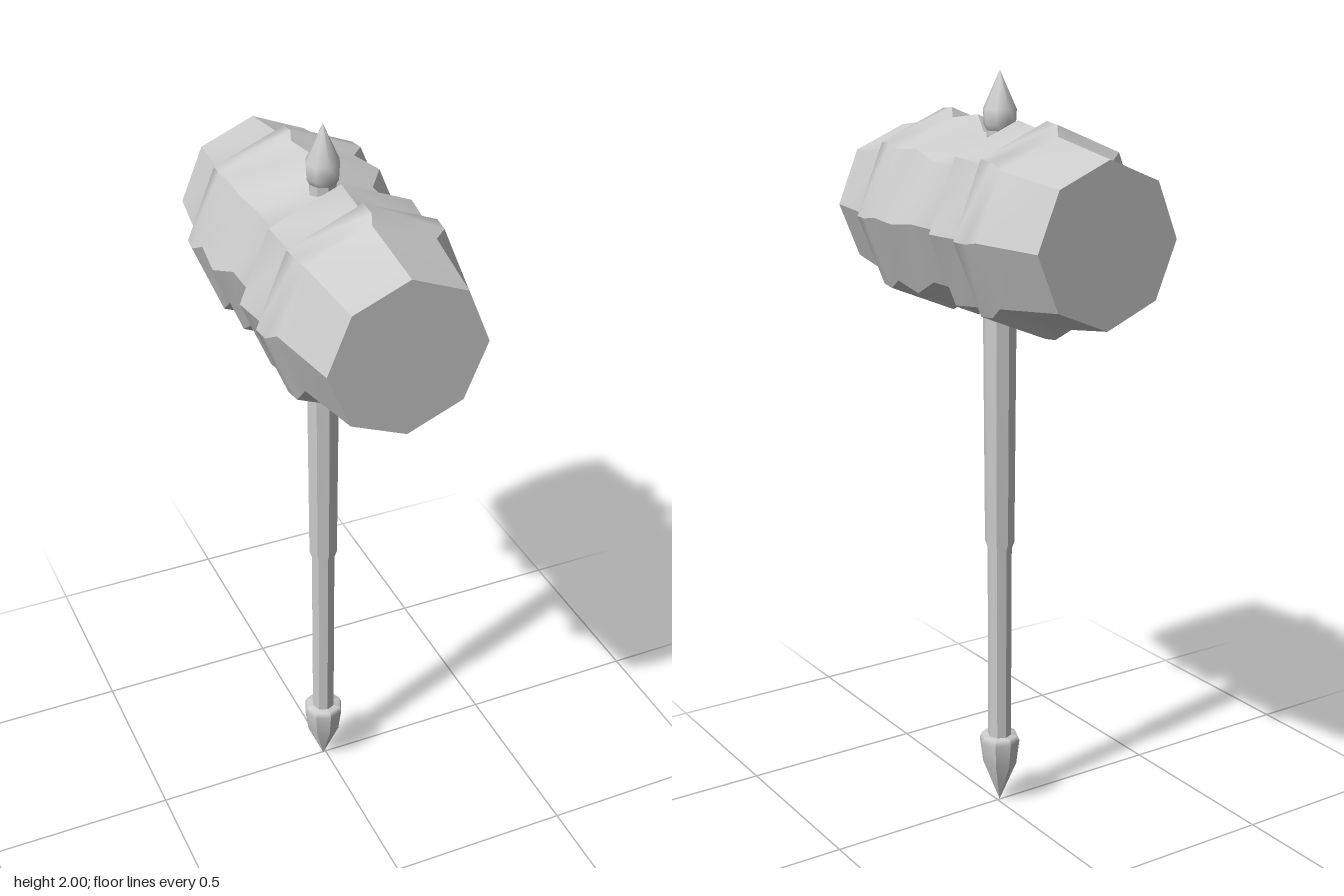
import * as THREE from 'three';
import { mergeGeometries } from 'three/addons/utils/BufferGeometryUtils.js';

const SIDES = 8;
const material = new THREE.MeshStandardMaterial({ color: 0xcccccc });
const toPoints = (profile) => profile.map(([r, y]) => new THREE.Vector2(r, y));

// Eight-sided turned form: creased between sides, smooth along each side.
function facetedLathe(profile) {
  const strips = [];
  const step = (Math.PI * 2) / SIDES;
  for (let i = 0; i < SIDES; i++) {
    const strip = new THREE.LatheGeometry(toPoints(profile), 1, i * step, step);
    strip.computeVertexNormals();
    strips.push(strip);
  }
  return mergeGeometries(strips);
}

function addMesh(parent, name, geometry) {
  const mesh = new THREE.Mesh(geometry, material);
  mesh.name = name;
  parent.add(mesh);
  return mesh;
}

export function createModel() {
  const model = new THREE.Group();
  model.name = 'warHammer';

  // Barrel head: half profile [radius, distance from centre], mirrored.
  const half = [
    [0.215, 0.062], [0.257, 0.09], [0.239, 0.211], [0.265, 0.213],
    [0.26, 0.257], [0.232, 0.259], [0.2, 0.467],
  ];
  const mirrored = half.map(([r, d]) => [r, -d]).reverse();
  const head = new THREE.Group();
  head.name = 'head';
  head.position.y = 1.628;
  addMesh(head, 'barrel', facetedLathe([...mirrored, ...half]).rotateX(Math.PI / 2));

  // Flat striking faces at both ends
  for (const side of [1, -1]) {
    const face = addMesh(head, side > 0 ? 'frontFace' : 'backFace', new THREE.CircleGeometry(0.2, SIDES));
    face.position.z = side * 0.467;
    if (side < 0) face.rotation.y = Math.PI;
  }
  model.add(head);

  // Shaft, pommel and finial share one slightly offset axis.
  const handle = new THREE.Group();
  handle.name = 'handle';
  handle.position.set(-0.008, 0, 0.002);

  // Slim lower shaft stepping out to a thicker upper grip
  addMesh(handle, 'shaft', facetedLathe([
    [0.032, 0.18], [0.033, 0.75], [0.04, 0.77], [0.044, 1.385], [0.036, 1.41], [0.034, 1.86],
  ]));

  // Pointed pommel
  addMesh(handle, 'pommel', facetedLathe([
    [0, 0.005], [0.047, 0.12], [0.056, 0.19], [0.05, 0.205], [0, 0.205],
  ]));

  // Spike above the head
  addMesh(handle, 'spike', new THREE.LatheGeometry(toPoints([
    [0, 1.84], [0.03, 1.845], [0.041, 1.867], [0.043, 1.905], [0, 2],
  ]), SIDES));
  model.add(handle);

  return model;
}
